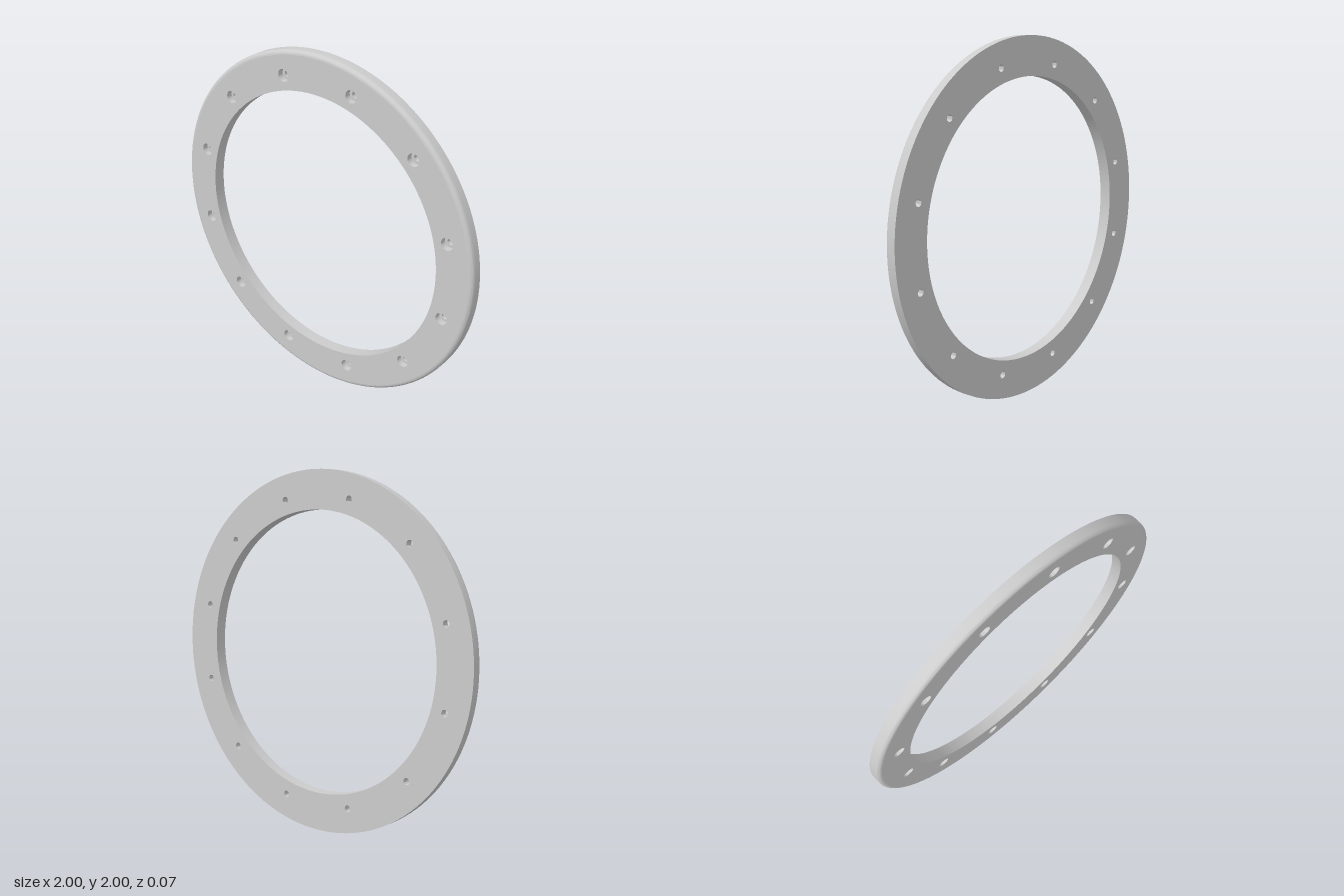
import * as THREE from 'three';
import { toCreasedNormals } from 'three/addons/utils/BufferGeometryUtils.js';

const OUTER = 1, INNER = 0.785, HALF = 0.034, FILLET = 0.024;
const BOLT_CIRCLE = 0.866, BOLTS = 12, BORE = 0.035, HOLE = 0.019, BORE_FLOOR = 0;
const RING_SEGMENTS = 144, HOLE_SEGMENTS = 32;

const material = new THREE.MeshStandardMaterial({ color: 0xcccccc });

function circlePoints(x, y, radius, segments) {
  return Array.from({ length: segments }, (_, i) => {
    const a = (i / segments) * Math.PI * 2;
    return new THREE.Vector2(x + radius * Math.cos(a), y + radius * Math.sin(a));
  });
}

function boltCentres() {
  return Array.from({ length: BOLTS }, (_, i) => {
    const a = ((i + 0.5) / BOLTS) * Math.PI * 2;
    return [BOLT_CIRCLE * Math.cos(a), BOLT_CIRCLE * Math.sin(a)];
  });
}

// Flat annulus pierced by the bolt holes
function pierced(outerRadius, holeRadius) {
  const shape = new THREE.Shape(circlePoints(0, 0, outerRadius, RING_SEGMENTS));
  shape.holes.push(new THREE.Path(circlePoints(0, 0, INNER, RING_SEGMENTS)));
  for (const [x, y] of boltCentres()) {
    shape.holes.push(new THREE.Path(circlePoints(x, y, holeRadius, HOLE_SEGMENTS)));
  }
  return new THREE.ShapeGeometry(shape);
}

// Profile of [radius, z] pairs turned about the z axis
function turned(profile, segments) {
  const points = profile.map(([r, z]) => new THREE.Vector2(r, z));
  const geometry = new THREE.LatheGeometry(points, segments).rotateX(Math.PI / 2);
  return toCreasedNormals(geometry, Math.PI / 5);
}

export function createModel() {
  const ring = new THREE.Group();
  ring.name = 'flangeRing';
  const add = (name, geometry, x = 0, y = 0) => {
    const mesh = new THREE.Mesh(geometry, material);
    mesh.name = name;
    mesh.position.set(x, y + OUTER, 0);
    ring.add(mesh);
    return mesh;
  };

  // Front and back faces
  add('frontFace', pierced(OUTER - FILLET, BORE)).position.z = HALF;
  const back = add('backFace', pierced(OUTER, HOLE).rotateY(Math.PI));
  back.position.z = -HALF;

  // Outer rim, rounded at the front edge
  const rim = [[OUTER, -HALF]];
  for (let i = 0; i <= 8; i++) {
    const a = (i / 8) * Math.PI / 2;
    rim.push([OUTER - FILLET + FILLET * Math.cos(a), HALF - FILLET + FILLET * Math.sin(a)]);
  }
  add('outerRim', turned(rim, RING_SEGMENTS));

  // Inner wall
  add('innerWall', turned([[INNER, HALF], [INNER, -HALF]], RING_SEGMENTS));

  // Counterbored bolt holes
  const hole = turned(
    [[BORE, HALF], [BORE, BORE_FLOOR], [HOLE, BORE_FLOOR], [HOLE, -HALF]], HOLE_SEGMENTS);
  for (const [x, y] of boltCentres()) add('boltHole', hole, x, y);

  return ring;
}
